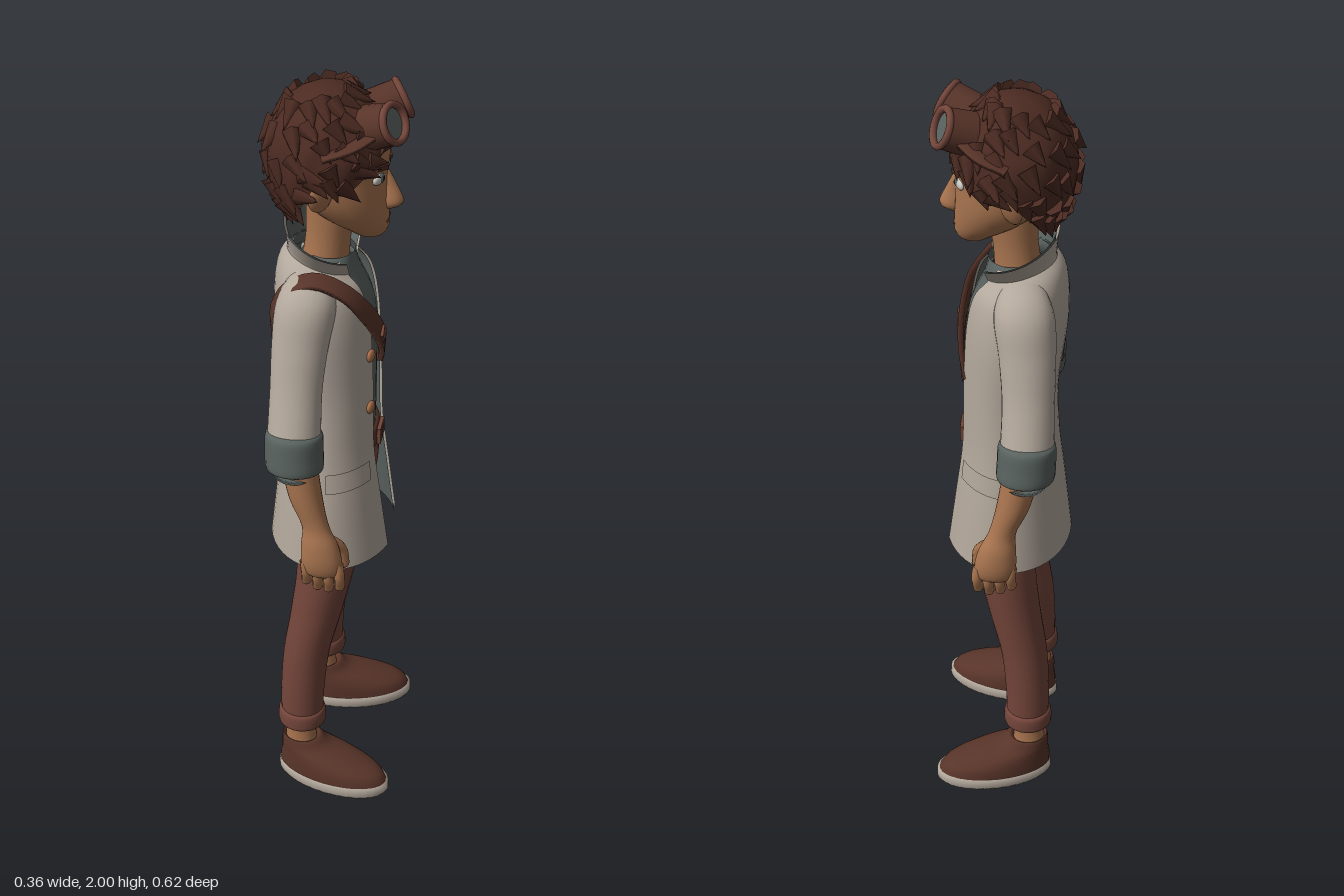
import * as THREE from 'three';

const mat = (name, color) => new THREE.MeshStandardMaterial({ name, color, side: THREE.DoubleSide });
const skin = mat('skin', 0xa8744f), hair = mat('hair', 0x4c2b22), cloth = mat('coatCloth', 0xb3a89c),
  grey = mat('greyCloth', 0x59625f), rust = mat('trouserCloth', 0x73453a), leather = mat('leather', 0x583429),
  copper = mat('copper', 0xa86d48), white = mat('eyeWhite', 0xc9c6c0), dark = mat('pupil', 0x231b19);
const V = (x, y, z) => new THREE.Vector3(x, y, z);

function mesh(parent, name, geo, material, pos = [0, 0, 0], rot = [0, 0, 0], scale = [1, 1, 1]) {
  const m = new THREE.Mesh(geo, material);
  m.name = name;
  m.position.set(...pos); m.rotation.set(...rot); m.scale.set(...scale);
  parent.add(m);
  return m;
}

// Grid surface: i runs around, j runs from top to bottom
function surface(ni, nj, fn, closed = false) {
  const pos = [], idx = [], cols = closed ? ni : ni + 1;
  for (let j = 0; j <= nj; j++) for (let i = 0; i < cols; i++) pos.push(...fn(i / ni, j / nj).toArray());
  for (let j = 0; j < nj; j++) for (let i = 0; i < ni; i++) {
    const a = j * cols + i, b = j * cols + (i + 1) % cols;
    idx.push(a, a + cols, b, b, a + cols, b + cols);
  }
  const g = new THREE.BufferGeometry();
  g.setAttribute('position', new THREE.Float32BufferAttribute(pos, 3));
  g.setIndex(idx);
  g.computeVertexNormals();
  return g;
}

// Smooth value along a list of rows
function sample(rows, t, linear) {
  const n = rows.length - 1, k = Math.min(Math.floor(t * n), n - 1), f = t * n - k;
  return rows[0].map((_, c) => {
    const at = i => rows[Math.max(0, Math.min(n, i))][c];
    const p = at(k - 1), q = at(k), r = at(k + 1), s = at(k + 2);
    if (linear) return q + (r - q) * f;
    return q + 0.5 * f * (r - p + f * (2 * p - 5 * q + 4 * r - s + f * (3 * (q - r) + s - p)));
  });
}

// Rings are [x, y, z, radiusX, radiusZ, frontGap, frontLift], top to bottom
function loft(rings, { tilt = false, linear = false, inset = 0, sides = 24, steps = 5 } = {}) {
  const open = rings[0][5] > 0;
  return surface(sides, (rings.length - 1) * (linear ? 1 : steps), (u, v) => {
    const [x, y, z, rx, rz, gap = 0, lift = 0] = sample(rings, v, linear);
    const a = gap + u * (Math.PI * 2 - gap * 2);
    const r = (rx - inset) * Math.sin(a);
    let ux = 1, uy = 0;
    if (tilt) {
      const p = sample(rings, Math.max(0, v - 0.02)), q = sample(rings, Math.min(1, v + 0.02));
      const l = Math.hypot(q[0] - p[0], q[1] - p[1]);
      ux = (p[1] - q[1]) / l; uy = (q[0] - p[0]) / l;
    }
    return V(x + r * ux, y + r * uy + lift * Math.cos(a), z + (rz - inset) * Math.cos(a));
  }, !open);
}

// Flat strap following points, facing away from the body
function strap(points, width, thick) {
  const curve = new THREE.CatmullRomCurve3(points.map(p => V(...p)));
  return surface(4, 30, (u, v) => {
    const p = curve.getPoint(v), t = curve.getTangent(v);
    const n = V(p.x * 0.3, Math.max(0, (p.y - 1.44) * 1.5), p.z).normalize();
    const b = V(0, 0, 0).crossVectors(t, n).normalize();
    n.crossVectors(b, t);
    const k = Math.round(u * 4) % 4;
    return p.addScaledVector(b, (k === 0 || k === 3 ? -1 : 1) * width / 2).addScaledVector(n, (k < 2 ? 1 : -1) * thick / 2);
  }, true).toNonIndexed();
}

function addMirrored(parent, side) {
  const other = side.clone();
  other.scale.x = -1;
  parent.add(side, other);
}

function named(name) { const g = new THREE.Group(); g.name = name; return g; }

function buildHead(body) {
  const head = named('head');
  mesh(head, 'neck', loft([[0, 1.7, 0, .058, .065], [0, 1.6, -.01, .055, .055], [0, 1.5, -.02, .065, .06]]), skin);
  mesh(head, 'face', loft([[0, 1.97, -.01, .01, .01], [0, 1.93, -.01, .09, .1], [0, 1.85, 0, .118, .133], [0, 1.78, 0, .115, .132],
    [0, 1.72, .02, .106, .113], [0, 1.67, .048, .083, .088], [0, 1.63, .08, .052, .055], [0, 1.61, .09, .03, .03], [0, 1.607, .09, .001, .001]]), skin);
  mesh(head, 'nose', loft([[0, 1.79, .12, .008, .008], [0, 1.74, .132, .014, .022], [0, 1.7, .138, .023, .032], [0, 1.682, .132, .014, .02], [0, 1.678, .13, .001, .001]], { sides: 12 }), skin);
  mesh(head, 'mouth', new THREE.BoxGeometry(.045, .004, .008), rust, [0, 1.652, .132]);
  const side = named('faceSide');
  mesh(side, 'ear', new THREE.SphereGeometry(1, 14, 10), skin, [.127, 1.757, -.008], [0, -.5, -.3], [.014, .046, .029]);
  mesh(side, 'earTip', new THREE.ConeGeometry(.018, .05, 8), skin, [.142, 1.79, -.014], [-.15, 0, -.35], [.6, 1, 1]);
  mesh(side, 'eye', new THREE.SphereGeometry(1, 16, 10), white, [.048, 1.777, .117], [0, .35, 0], [.025, .014, .009]);
  mesh(side, 'iris', new THREE.SphereGeometry(1, 12, 8), grey, [.046, 1.778, .123], [0, .35, 0], [.012, .012, .006]);
  mesh(side, 'pupil', new THREE.SphereGeometry(1, 10, 8), dark, [.046, 1.778, .127], [0, .35, 0], [.006, .006, .004]);
  mesh(side, 'eyebrow', new THREE.BoxGeometry(.055, .011, .009), hair, [.05, 1.806, .124], [0, .35, .28]);
  addMirrored(head, side);

  // Hair cap with an uneven hairline, and pointed locks
  let seed = 7;
  const rnd = () => (seed = (seed * 16807) % 2147483647) / 2147483647;
  const line = [1.865, 1.85, 1.81, 1.77, 1.79, 1.72, 1.69, 1.68, 1.675].map(y => [y]);
  const onHair = (a, t) => {
    const f = Math.abs(Math.atan2(Math.sin(a), Math.cos(a))) / Math.PI;
    const th = t * Math.acos((sample(line, f)[0] - 1.82) / .165);
    const s = th > Math.PI / 2 ? Math.sqrt(Math.sin(th)) : Math.sin(th);
    const r = 1 + .025 * Math.sin(a * 7 + t * 5) * Math.sin(t * 9);
    return V(Math.sin(a) * s * .15 * r, 1.82 + Math.cos(th) * .165, -.008 + Math.cos(a) * s * .148 * r);
  };
  mesh(head, 'hairCap', surface(48, 20, (u, v) => onHair(u * Math.PI * 2, v), true), hair);
  const lock = (a, t, len, lift) => {
    const p = onHair(a, t), q = onHair(a + .12, t + .08);
    const out = V(p.x, (p.y - 1.8) * .9, p.z).normalize();
    const dir = q.sub(p).normalize().addScaledVector(out, lift).normalize();
    const g = new THREE.ConeGeometry(.027, len, 6, 4).translate(0, len * .3, 0);
    const m = mesh(head, 'hairLock', g, hair, p.addScaledVector(out, -.006).toArray());
    m.quaternion.setFromUnitVectors(V(0, 1, 0), dir);
  };
  for (let i = 0; i < 26; i++) {
    const a = i / 26 * Math.PI * 2, back = (1 - Math.cos(a)) / 2;
    lock(a + rnd() * .15, .93, .04 + rnd() * .025 + back * .025, .2 + rnd() * .3);
  }
  for (let k = 0; k < 4; k++) for (let i = 0; i < 15; i++) {
    const a = (i + k * .5) / 15 * Math.PI * 2 + rnd() * .2;
    if (Math.cos(a) < .75 || k === 0) lock(a, .28 + k * .18, .055 + rnd() * .025, .1 + rnd() * (k ? .45 : .1));
  }

  // Goggles pushed up on the forehead
  const lens = named('goggle');
  const eyepiece = new THREE.Group();
  eyepiece.name = 'eyepiece';
  eyepiece.position.set(.06, 1.922, .132);
  eyepiece.rotation.set(-.4, .38, 0, 'YXZ');
  lens.add(eyepiece);
  mesh(eyepiece, 'cup', new THREE.CylinderGeometry(.048, .054, .07, 24, 1, true), leather, [0, 0, -.01], [Math.PI / 2, 0, 0]);
  mesh(eyepiece, 'rim', new THREE.TorusGeometry(.044, .009, 8, 28), rust, [0, 0, .026]);
  mesh(eyepiece, 'glass', new THREE.CircleGeometry(.044, 24), grey, [0, 0, .02]);
  mesh(lens, 'goggleBand', strap([[.09, 1.91, .11], [.135, 1.89, .06], [.152, 1.87, 0]], .03, .01), leather);
  addMirrored(head, lens);
  mesh(head, 'goggleBridge', new THREE.BoxGeometry(.04, .018, .015), rust, [0, 1.922, .145]);
  body.add(head);
}

function buildCoat(body) {
  const coat = named('coat');
  const panels = [[0, 1.56, -.025, .085, .075, .8, -.01], [0, 1.53, -.028, .12, .1, .62, -.01], [0, 1.48, -.02, .152, .12, .5, 0], [0, 1.38, -.012, .166, .128, .42, 0],
    [0, 1.2, .003, .16, .122, .44, 0], [0, 1.05, .003, .168, .126, .45, 0], [0, .9, .003, .188, .143, .4, 0], [0, .735, .004, .207, .162, .35, 0]];
  const collar = [[0, 1.605, -.004, .152, .112, 1.0, -.035], [0, 1.575, -.012, .125, .1, .85, -.032], [0, 1.535, -.02, .094, .09, .65, -.028], [0, 1.51, -.02, .1, .1, .55, -.02]];
  for (const [inset, material, label] of [[0, cloth, ''], [.006, grey, 'Lining']]) {
    mesh(coat, 'coatPanels' + label, loft(panels, { inset, sides: 40 }), material);
    mesh(coat, 'collar' + label, loft(collar, { inset, sides: 32 }), material);
  }
  const side = named('coatSide');
  mesh(side, 'pocketFlap', surface(10, 4, (u, v) => {
    const a = .65 + u * .85, y = 1.02 - v * .055, w = .18 + v * .006;
    return V(w * Math.sin(a), y - u * .01, .003 + (w - .043) * Math.cos(a));
  }), cloth);
  mesh(side, 'sleeve', loft([[.085, 1.525, -.035, .03, .05], [.135, 1.475, -.04, .06, .073], [.168, 1.38, -.05, .056, .069], [.198, 1.27, -.055, .054, .064], [.232, 1.15, -.055, .062, .066]], { tilt: true }), cloth);
  mesh(side, 'sleeveCuff', loft([[.23, 1.172, -.055, .052, .056], [.231, 1.165, -.055, .069, .07], [.237, 1.12, -.054, .071, .072], [.243, 1.075, -.052, .069, .07], [.244, 1.07, -.052, .045, .048]], { tilt: true }), grey);
  addMirrored(coat, side);
  for (const [x, y, z] of [[-.08, 1.31, .108], [-.087, 1.165, .11]])
    mesh(coat, 'button', new THREE.SphereGeometry(.017, 14, 10), copper, [x, y, z], [0, -.3, 0], [1, 1, .5]);
  mesh(coat, 'shoulderStrap', strap([[-.045, 1.23, -.118], [-.085, 1.32, -.123], [-.12, 1.43, -.123], [-.137, 1.51, -.085], [-.138, 1.54, -.02],
    [-.13, 1.51, .05], [-.1, 1.44, .1], [-.045, 1.36, .122], [.015, 1.29, .122], [.065, 1.23, .108]], .045, .014), leather);
  mesh(coat, 'strapBuckle', new THREE.BoxGeometry(.045, .03, .008), rust, [-.035, 1.35, .131], [0, 0, -.85]);
  body.add(coat);
}

function buildArm() {
  const arm = named('arm');
  mesh(arm, 'forearm', loft([[.236, 1.14, -.05, .046, .046], [.252, 1.0, -.025, .04, .042], [.265, .92, .002, .029, .034], [.273, .87, .014, .034, .046],
    [.278, .82, .02, .033, .052], [.276, .785, .022, .024, .045], [.275, .78, .022, .001, .001]], { tilt: true }), skin);
  for (let i = 0; i < 4; i++) {
    const z = -.022 + i * .028, drop = [.018, .004, 0, .008][i];
    const path = new THREE.CatmullRomCurve3([V(.282, .82, z), V(.286, .775 + drop, z + .004), V(.27, .733 + drop, z + .002)]);
    mesh(arm, 'finger', new THREE.TubeGeometry(path, 8, .0135, 8), skin);
    mesh(arm, 'fingertip', new THREE.SphereGeometry(.0135, 8, 6), skin, [.27, .733 + drop, z + .002]);
  }
  const thumb = new THREE.CatmullRomCurve3([V(.265, .88, .03), V(.242, .84, .062), V(.235, .79, .068)]);
  mesh(arm, 'thumb', new THREE.TubeGeometry(thumb, 8, .015, 8), skin);
  mesh(arm, 'thumbTip', new THREE.SphereGeometry(.015, 8, 6), skin, [.235, .79, .068]);
  return arm;
}

function buildLeg() {
  const leg = named('leg');
  mesh(leg, 'trouserLeg', loft([[.08, .99, 0, .075, .1], [.09, .86, .003, .082, .095], [.115, .7, .003, .08, .076], [.13, .55, -.02, .071, .067],
    [.14, .42, -.045, .064, .061], [.15, .3, -.055, .057, .058], [.155, .2, -.057, .052, .056]]), rust);
  mesh(leg, 'trouserCuff', loft([[.155, .232, -.057, .045, .05], [.155, .225, -.057, .058, .061], [.155, .2, -.057, .061, .064], [.156, .182, -.057, .057, .06], [.156, .178, -.057, .035, .038]]), rust);
  mesh(leg, 'ankle', loft([[.156, .22, -.058, .034, .04], [.156, .15, -.06, .033, .04], [.156, .09, -.06, .038, .045]]), skin);
  // Slip-on shoe, toe turned out
  const shoe = named('shoe');
  shoe.position.set(.17, 0, 0);
  shoe.rotation.y = .23;
  mesh(shoe, 'shoeUpper', loft([[0, .11, -.06, .03, .035], [0, .133, -.06, .043, .05], [0, .11, -.046, .052, .069], [0, .086, -.006, .063, .109], [0, .06, .024, .07, .143], [0, .028, .034, .073, .155]]), leather);
  mesh(shoe, 'shoeSole', loft([[0, .036, .034, .06, .14], [0, .036, .034, .075, .157], [0, .012, .034, .076, .158], [0, 0, .034, .07, .15], [0, 0, .034, .001, .001]], { linear: true, sides: 32 }), cloth);
  leg.add(shoe);
  return leg;
}

export function createModel() {
  const model = new THREE.Group(), body = named('figure');
  model.add(body);
  buildHead(body);
  mesh(body, 'shirt', loft([[0, 1.56, -.005, .062, .06], [0, 1.51, -.015, .1, .08], [0, 1.4, -.005, .138, .11], [0, 1.2, .003, .138, .106], [0, 1.03, .003, .138, .104]]), grey);
  mesh(body, 'trouserTop', loft([[0, 1.05, .003, .135, .104], [0, .97, .003, .148, .114], [0, .9, .003, .13, .1], [0, .86, .003, .05, .06], [0, .855, .003, .001, .001]]), rust);
  mesh(body, 'belt', loft([[0, 1.06, .003, .138, .104], [0, 1.058, .003, .145, .115], [0, 1.02, .003, .148, .118], [0, 1.018, .003, .138, .104]], { linear: true, sides: 32 }), leather);
  mesh(body, 'beltBuckle', new THREE.BoxGeometry(.06, .045, .01), rust, [0, 1.039, .122]);
  mesh(body, 'buckleCentre', new THREE.BoxGeometry(.036, .024, .008), leather, [0, 1.039, .125]);
  buildCoat(body);
  addMirrored(body, buildArm());
  addMirrored(body, buildLeg());
  body.rotation.y = Math.PI / 2; // the figure looks along +x
  return model;
}
